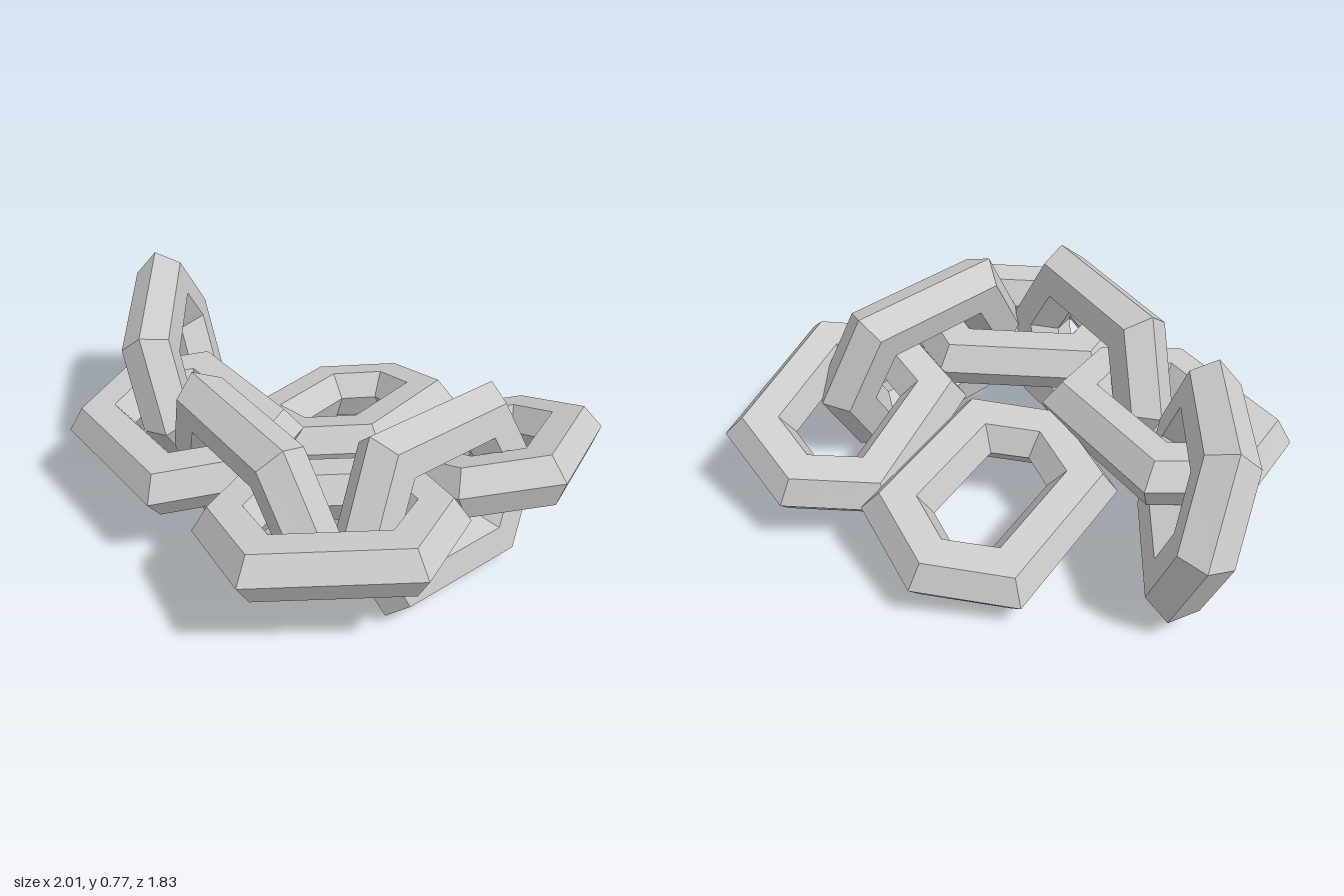
import * as THREE from 'three';

const SIDES = 6;      // sides of the bar's cross-section
const RADIUS = 0.112; // bar radius

// Bar centreline corners (u, v) with the mitred outward offset (du, dv) at each
const CORNERS = [
  [0.367, 0, 1.11, 0],
  [0.246, 0.239, 0.63, 1],
  [-0.246, 0.239, -0.63, 1],
  [-0.367, 0, -1.11, 0],
  [-0.246, -0.239, -0.63, -1],
  [0.246, -0.239, 0.63, -1],
];

// Stretched hexagonal ring with a hexagonal bar, lying in the local xy plane
function linkGeometry() {
  const positions = [];
  const index = [];
  const count = CORNERS.length;
  CORNERS.forEach(([u, v, du, dv], i) => {
    for (let j = 0; j < SIDES; j++) {
      const a = (j / SIDES) * Math.PI * 2;
      const out = RADIUS * Math.cos(a);
      positions.push(u + du * out, v + dv * out, RADIUS * Math.sin(a));
      const i2 = (i + 1) % count;
      const j2 = (j + 1) % SIDES;
      const p = i * SIDES + j, q = i2 * SIDES + j;
      const r = i2 * SIDES + j2, s = i * SIDES + j2;
      index.push(p, q, r, p, r, s);
    }
  });
  const indexed = new THREE.BufferGeometry();
  indexed.setAttribute('position', new THREE.Float32BufferAttribute(positions, 3));
  indexed.setIndex(index);
  const geometry = indexed.toNonIndexed();
  geometry.computeVertexNormals();
  return geometry;
}

// Each link: name, centre, long direction, width direction
const LINKS = [
  ['uprightEndLink', [-0.752, 0.402, -0.31], [-0.178, 0.045, -0.45], [-0.077, 0.335, 0.06]],
  ['flatRightLink', [-0.522, 0.36, 0.078], [0.413, 0.012, 0.27], [-0.19, -0.035, 0.29]],
  ['uprightMiddleLink', [-0.11, 0.385, 0.355], [0.26, 0.01, 0.185], [-0.035, 0.345, 0.039]],
  ['flatFrontLink', [0.243, 0.39, 0.473], [0.45, 0.02, -0.18], [0.13, 0.03, 0.325]],
  ['uprightLeftLink', [0.54, 0.365, 0.145], [0.14, -0.022, -0.283], [-0.057, 0.338, -0.056]],
  ['flatLeftLink', [0.645, 0.307, -0.285], [0.02, -0.105, -0.48], [0.335, 0.08, 0]],
  ['looseBackLink', [-0.035, 0.219, -0.443], [0.097, -0.079, -0.482], [0.34, 0.07, 0.06]],
];

export function createModel() {
  const group = new THREE.Group();
  group.name = 'chain';
  const material = new THREE.MeshStandardMaterial({ color: 0xcccccc, flatShading: true });
  const geometry = linkGeometry();

  for (const [name, centre, along, across] of LINKS) {
    // Square up the two directions into a full rotation
    const u = new THREE.Vector3(...along).normalize();
    const n = u.clone().cross(new THREE.Vector3(...across)).normalize();
    const v = n.clone().cross(u);
    const link = new THREE.Mesh(geometry, material);
    link.name = name;
    link.quaternion.setFromRotationMatrix(new THREE.Matrix4().makeBasis(u, v, n));
    link.position.set(...centre);
    group.add(link);
  }
  return group;
}
